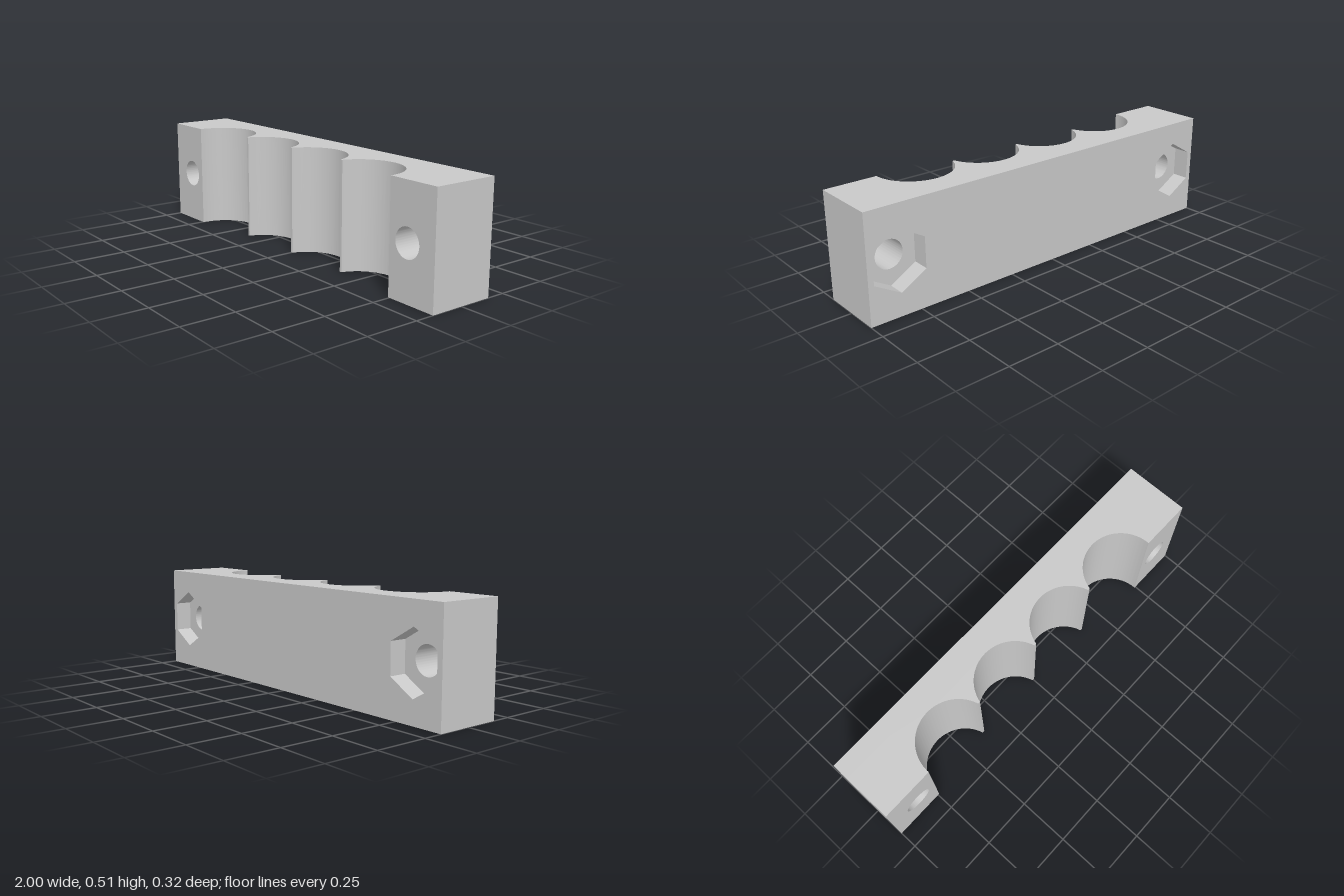
import * as THREE from 'three';
import { toCreasedNormals } from 'three/addons/utils/BufferGeometryUtils.js';

const H = 0.515;        // height
const Z = 0.161;        // half depth
const FLOOR = -0.076;   // depth at which the nut recesses end
const BOLT_X = 0.846, BOLT_Y = H / 2, BOLT_R = 0.068, NUT_R = 0.147;
const GROOVE_R = 0.186, GROOVE_Z = 0.155, PITCH = 0.3714;
const INNER = 1.5 * PITCH + GROOVE_R;   // inner edge of the end lugs

function rectangle(x0, x1) {
  return new THREE.Shape([
    new THREE.Vector2(x0, 0), new THREE.Vector2(x1, 0),
    new THREE.Vector2(x1, H), new THREE.Vector2(x0, H),
  ]);
}

function extrude(shape, depth) {
  return new THREE.ExtrudeGeometry(shape, { depth, bevelEnabled: false, curveSegments: 40 });
}

export function createModel() {
  const group = new THREE.Group();
  const grey = new THREE.MeshStandardMaterial({ color: 0xc8c8c8 });
  grey.name = 'grey';

  function add(name, geometry) {
    const mesh = new THREE.Mesh(toCreasedNormals(geometry, 0.5), grey);
    mesh.name = name;
    group.add(mesh);
  }

  // Back plate with a hexagonal nut recess near each end
  const back = rectangle(-1, 1);
  for (const side of [-1, 1]) {
    const hexagon = [];
    for (let i = 0; i < 6; i++) {
      const a = Math.PI / 2 + i * Math.PI / 3;
      hexagon.push(new THREE.Vector2(
        side * BOLT_X + NUT_R * Math.cos(a), BOLT_Y + NUT_R * Math.sin(a)));
    }
    back.holes.push(new THREE.Path(hexagon));
  }
  add('backPlate', extrude(back, FLOOR + Z).translate(0, 0, -Z));

  // End lugs with round bolt holes
  for (const side of [-1, 1]) {
    const lug = side < 0 ? rectangle(-1, -INNER) : rectangle(INNER, 1);
    lug.holes.push(new THREE.Path().absarc(side * BOLT_X, BOLT_Y, BOLT_R, 0, Math.PI * 2));
    add(side < 0 ? 'rightLug' : 'leftLug', extrude(lug, Z - FLOOR).translate(0, 0, FLOOR));
  }

  // Cradle with four round grooves, parted by narrow blunt ridges
  const cradle = new THREE.Shape();
  const tip = Math.acos(0.18 / GROOVE_R);
  cradle.moveTo(-INNER, -FLOOR);
  cradle.lineTo(-INNER, 0);
  for (let i = 0; i < 4; i++) {
    const start = i === 0 ? Math.PI : Math.PI - tip;
    const end = i === 3 ? 0 : tip;
    cradle.absarc((i - 1.5) * PITCH, -GROOVE_Z, GROOVE_R, start, end, true);
  }
  cradle.lineTo(INNER, -FLOOR);
  add('groovedCradle', extrude(cradle, H).rotateX(-Math.PI / 2));

  return group;
}
